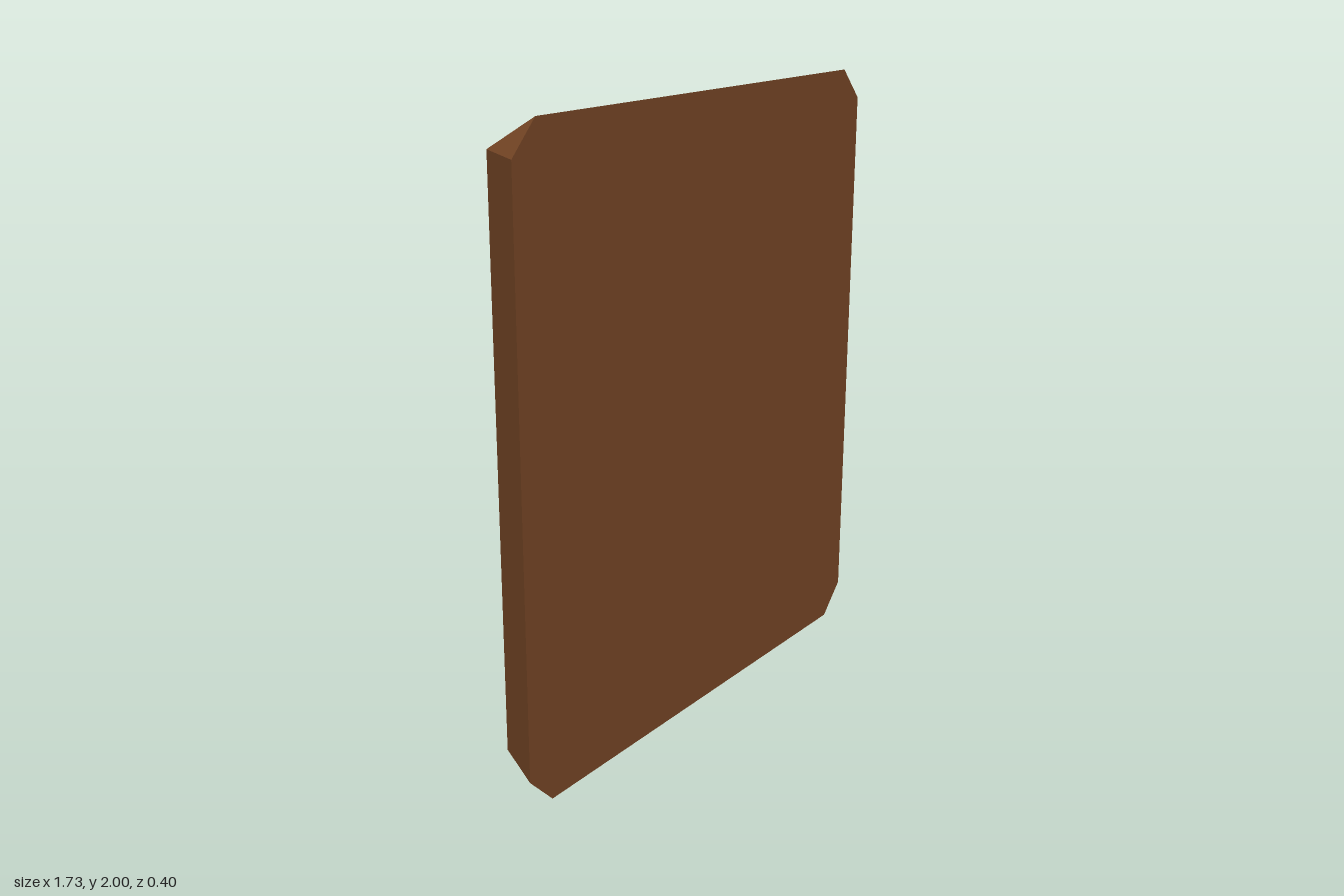
import * as THREE from 'three';

const brown = new THREE.MeshStandardMaterial({ color: 0x784726 });
brown.name = 'dark wood';
const tan = new THREE.MeshStandardMaterial({ color: 0xc39873 });
tan.name = 'light wood';
const grey = new THREE.MeshStandardMaterial({ color: 0xc8c8c8 });
grey.name = 'grey metal';

const FRONT = 0.186, BACK = 0.01; // depth of the two door faces
const W = 0.865, H = 1, w = 0.77, h = 0.9; // outer and inner half sizes

// Octagonal front face joined to a smaller rectangle at the back by bevels
function doorBody() {
  const pos = [];
  const tri = (...pts) => pts.forEach((p) => pos.push(...p));
  const corners = [[1, 1], [-1, 1], [-1, -1], [1, -1]].map(([sx, sy]) => {
    const side = [sx * W, sy * h, FRONT], end = [sx * w, sy * H, FRONT];
    const [p, q] = sx * sy > 0 ? [side, end] : [end, side];
    return { p, q, b: [sx * w, sy * h, BACK] };
  });
  corners.forEach((c, i) => {
    const n = corners[(i + 1) % 4];
    const centre = [0, 0, FRONT];
    tri(centre, c.p, c.q); // front face
    tri(centre, c.q, n.p);
    tri(c.q, c.p, c.b); // corner bevel
    tri(n.p, c.q, c.b); // edge bevel
    tri(n.p, c.b, n.b);
  });
  const geo = new THREE.BufferGeometry();
  geo.setAttribute('position', new THREE.Float32BufferAttribute(pos, 3));
  geo.computeVertexNormals();
  return geo;
}

// C-shaped pull, drawn in profile (depth, height) and extruded across its width
function handleGeometry() {
  const shape = new THREE.Shape([
    [0, 0.715], [0.21, 0.715], [0.21, 1.3], [0, 1.3],
    [0, 1.22], [0.115, 1.22], [0.115, 0.795], [0, 0.795],
  ].map(([d, y]) => new THREE.Vector2(d, y - 1)));
  const geo = new THREE.ExtrudeGeometry(shape, { depth: 0.085, bevelEnabled: false });
  return geo.rotateY(Math.PI / 2).translate(0.537, 0, BACK);
}

export function createModel() {
  const model = new THREE.Group();
  model.name = 'cabinetDoor';
  const add = (name, geo, material) => {
    const mesh = new THREE.Mesh(geo, material);
    mesh.name = name;
    model.add(mesh);
  };
  add('doorBody', doorBody(), brown);
  add('backPanel', new THREE.PlaneGeometry(2 * w, 2 * h).rotateY(Math.PI).translate(0, 0, BACK), tan);
  add('handle', handleGeometry(), grey);

  // The door hangs very slightly ajar
  model.rotation.y = 0.0127;
  model.position.set(-0.002, 1, 0);
  return model;
}
